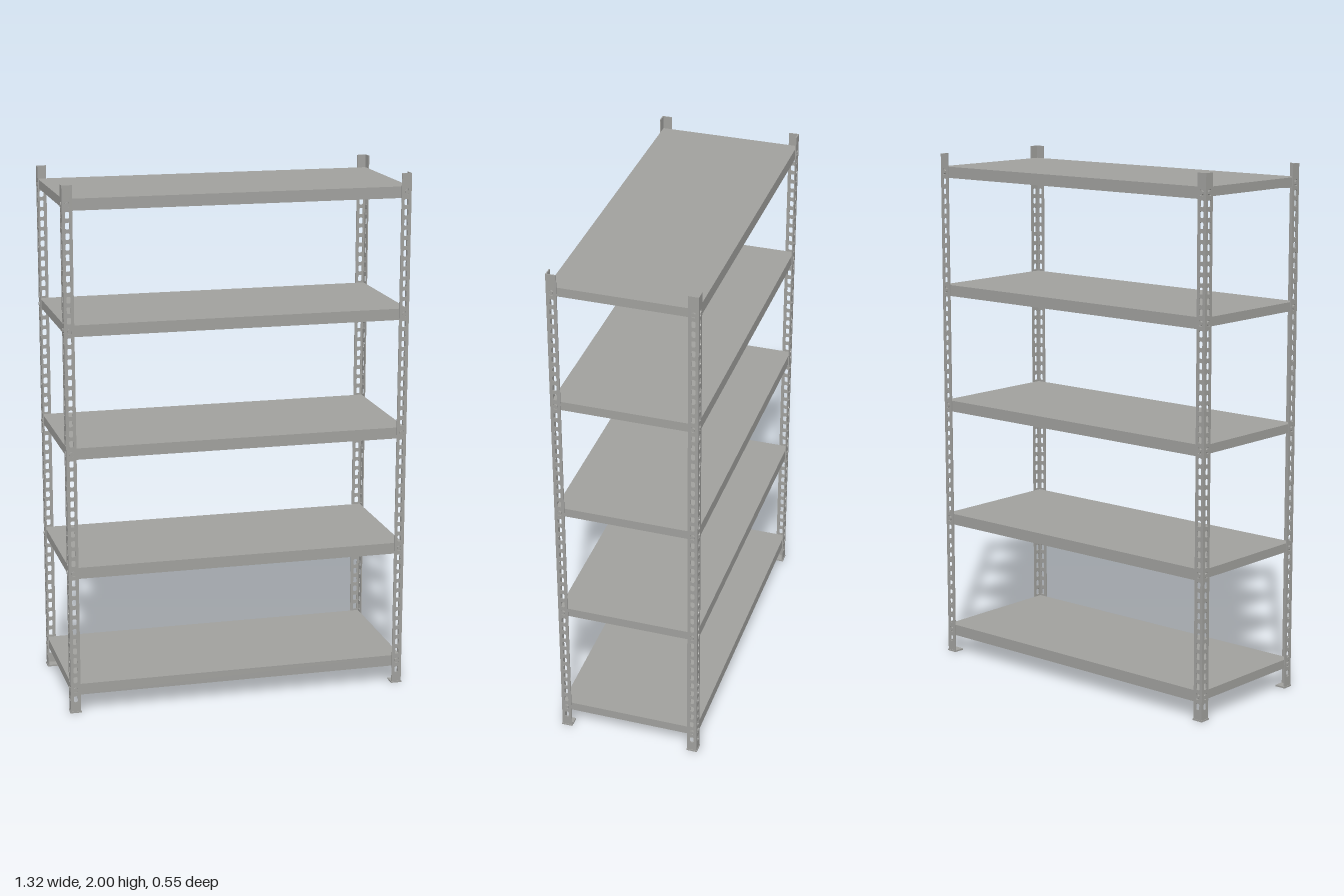
import * as THREE from 'three';

const HALF_X = 0.655, HALF_Z = 0.272; // outer faces of the uprights
const LEG = 0.038, T = 0.004;         // angle leg width and sheet thickness
const BASE = 0.093, STEP = 0.4595;    // bolt height of lowest shelf, shelf spacing
const PITCH = STEP / 12;              // slot spacing
const SHELVES = 5;

export function createModel() {
  const steel = new THREE.MeshStandardMaterial({ color: 0xa0a09d });
  steel.name = 'grey steel';
  const rack = new THREE.Group();
  rack.name = 'shelvingRack';

  const add = (parent, name, geometry, x = 0, y = 0, z = 0) => {
    const mesh = new THREE.Mesh(geometry, steel);
    mesh.name = name;
    mesh.position.set(x, y, z);
    parent.add(mesh);
    return mesh;
  };
  const box = (w, h, d) => new THREE.BoxGeometry(w, h, d);

  // One slotted leg of an angle upright: outer corner at x = 0, face at z = 0
  const profile = new THREE.Shape();
  profile.moveTo(-LEG, 0).lineTo(0, 0).lineTo(0, 2).lineTo(-LEG, 2).closePath();
  for (let i = -1; i <= 48; i++) {
    const x = -LEG / 2, y = BASE + i * PITCH, w = 0.0075, h = 0.012, c = 0.003;
    const slot = new THREE.Path();
    slot.moveTo(x - w, y - h + c).lineTo(x - w, y + h - c).lineTo(x - w + c, y + h)
      .lineTo(x + w - c, y + h).lineTo(x + w, y + h - c).lineTo(x + w, y - h + c)
      .lineTo(x + w - c, y - h).lineTo(x - w + c, y - h).closePath();
    profile.holes.push(slot);
  }
  const legA = new THREE.ExtrudeGeometry(profile, { depth: T, bevelEnabled: false });
  legA.translate(0, 0, -T);
  const legB = legA.clone().rotateY(-Math.PI / 2).translate(-T, 0, 0);

  // Hexagonal bolt heads for both leg faces
  const boltA = new THREE.CylinderGeometry(0.008, 0.008, 0.008, 6).toNonIndexed();
  boltA.computeVertexNormals();
  boltA.rotateX(Math.PI / 2);
  const boltB = boltA.clone().rotateY(Math.PI / 2);

  // Four uprights: the angle is turned by quarter turns to fit each corner
  const corners = [
    ['frontLeftPost', 1, 1, 0], ['backLeftPost', 1, -1, 1],
    ['backRightPost', -1, -1, 2], ['frontRightPost', -1, 1, 3],
  ];
  for (const [name, sx, sz, turns] of corners) {
    const post = new THREE.Group();
    post.name = name;
    post.position.set(sx * HALF_X, 0, sz * HALF_Z);
    post.rotation.y = turns * Math.PI / 2;
    add(post, 'postFaceLeg', legA);
    add(post, 'postSideLeg', legB);
    add(post, 'footPlate', box(LEG + 0.004, 0.006, LEG + 0.004), -LEG / 2, 0.003, -LEG / 2);
    for (let i = 0; i < SHELVES; i++) {
      const y = BASE + i * STEP;
      add(post, 'faceBolt', boltA, -LEG / 2, y, -0.001);
      add(post, 'sideBolt', boltB, -0.001, y, -LEG / 2);
    }
    rack.add(post);
  }

  // Shelves: sheet panel with folded rims, open below
  const X = HALF_X - T - 0.0005, Z = HALF_Z - T - 0.0005;
  const frontH = 0.043, sideH = 0.034, lip = 0.01;
  for (let i = 0; i < SHELVES; i++) {
    const shelf = new THREE.Group();
    shelf.name = 'shelf' + (i + 1);
    shelf.position.y = BASE + i * STEP + 0.02;
    add(shelf, 'panel', box(2 * X, T, 2 * Z), 0, -T / 2, 0);
    for (const s of [-1, 1]) {
      add(shelf, 'longRim', box(2 * X, frontH - T, T), 0, -(frontH + T) / 2, s * (Z - T / 2));
      add(shelf, 'longRimLip', box(2 * X - 0.08, T, lip), 0, -frontH + T / 2, s * (Z - T - lip / 2));
      add(shelf, 'shortRim', box(T, sideH - T, 2 * (Z - T)), s * (X - T / 2), -(sideH + T) / 2, 0);
    }
    rack.add(shelf);
  }
  return rack;
}
